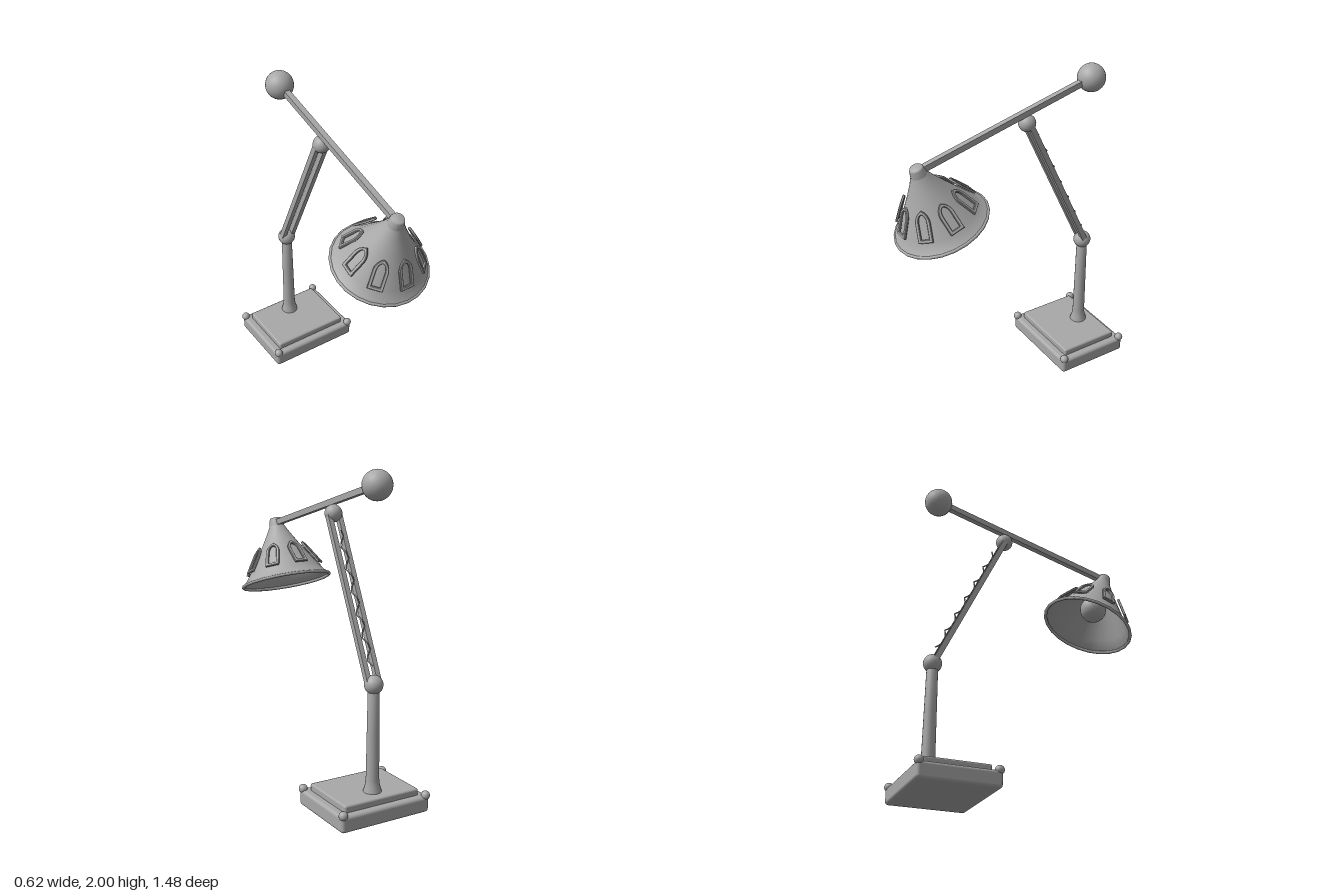
import * as THREE from 'three';
import { RoundedBoxGeometry } from 'three/addons/geometries/RoundedBoxGeometry.js';

const V2 = (x, y) => new THREE.Vector2(x, y);
const V3 = (x, y, z) => new THREE.Vector3(x, y, z);

export function createModel() {
  const lamp = new THREE.Group();
  lamp.name = 'deskLamp';
  const grey = new THREE.MeshStandardMaterial({ color: 0xa8a8a8 });
  grey.name = 'grey metal';
  const greyOpen = new THREE.MeshStandardMaterial({ color: 0xa8a8a8, side: THREE.DoubleSide });
  greyOpen.name = 'grey metal open';

  const add = (name, geometry, x, y, z, parent = lamp, material = grey) => {
    const mesh = new THREE.Mesh(geometry, material);
    mesh.name = name;
    mesh.position.set(x, y, z);
    parent.add(mesh);
    return mesh;
  };
  const ball = (name, r, x, y, z, parent) =>
    add(name, new THREE.SphereGeometry(r, 24, 16), x, y, z, parent);
  // Square bar between two points
  const bar = (name, a, b, w, h) => {
    const mid = a.clone().lerp(b, 0.5);
    add(name, new THREE.BoxGeometry(w, h, a.distanceTo(b)), mid.x, mid.y, mid.z).lookAt(b);
  };

  // Stepped base with a ball on each corner
  const baseZ = -0.485;
  add('baseSlab', new RoundedBoxGeometry(0.605, 0.1, 0.488, 3, 0.02), 0, 0.052, baseZ);
  add('baseStep', new RoundedBoxGeometry(0.51, 0.07, 0.395, 2, 0.012), 0, 0.108, baseZ);
  for (const sx of [-1, 1])
    for (const sz of [-1, 1]) ball('cornerBall', 0.027, sx * 0.285, 0.105, baseZ + sz * 0.227);

  // Flared post
  const postProfile = [V2(0.056, 0.13), V2(0.054, 0.15), V2(0.045, 0.18), V2(0.04, 0.22),
    V2(0.037, 0.5), V2(0.034, 0.76), V2(0, 0.76)];
  add('post', new THREE.LatheGeometry(postProfile, 16), 0, 0, -0.575);

  // Joints and counterweight
  const elbow = V3(0, 0.79, -0.575), shoulder = V3(0, 1.727, -0.13);
  ball('lowerJoint', 0.056, ...elbow.toArray());
  ball('upperJoint', 0.053, ...shoulder.toArray());
  ball('counterweight', 0.087, 0, 1.913, -0.585);

  // Twin lower arm rods
  for (const sx of [-1, 1]) {
    const side = V3(sx * 0.034, 0, 0);
    bar('lowerArmRod', elbow.clone().add(side), shoulder.clone().add(side), 0.03, 0.034);
  }

  // Stretched spring behind the rods
  const along = shoulder.clone().sub(elbow).normalize();
  const back = V3(0, along.z, -along.y);
  const coil = [];
  for (let i = 0; i <= 24; i++) {
    const a = (i / 4) * Math.PI * 2;
    coil.push(elbow.clone().addScaledVector(along, 0.1 + (i / 24) * 0.82)
      .addScaledVector(back, 0.023 + 0.015 * Math.cos(a))
      .add(V3(0.017 * Math.sin(a), 0, 0)));
  }
  const coilCurve = new THREE.CatmullRomCurve3(coil, false, 'catmullrom', 0.1);
  add('spring', new THREE.TubeGeometry(coilCurve, 96, 0.0045, 6), 0, 0, 0);

  // Upper arm
  bar('upperArm', V3(0, 1.913, -0.585), V3(0, 1.612, 0.58), 0.036, 0.036);

  // Tilted shade, measured from the centre of its rim
  const shade = new THREE.Group();
  shade.name = 'shade';
  shade.position.set(0, 1.24, 0.459);
  shade.rotation.x = THREE.MathUtils.degToRad(20);
  lamp.add(shade);
  const shadeProfile = [V2(0.29, 0.003), V2(0.26, 0.03), V2(0.235, 0.065), V2(0.18, 0.15),
    V2(0.125, 0.235), V2(0.075, 0.32), V2(0.052, 0.365), V2(0.045, 0.38)];
  add('shadeCone', new THREE.LatheGeometry(shadeProfile, 24), 0, 0, 0, shade, greyOpen);
  add('shadeRim', new THREE.TorusGeometry(0.286, 0.01, 8, 24), 0, 0, 0, shade).rotation.x = Math.PI / 2;
  const capProfile = [V2(0, 0.345), V2(0.052, 0.345), V2(0.051, 0.365), V2(0.042, 0.41),
    V2(0.036, 0.422), V2(0, 0.425)];
  add('shadeCap', new THREE.LatheGeometry(capProfile, 16), 0, 0, 0, shade);
  ball('bulb', 0.085, 0, 0.138, 0, shade);
  add('bulbSocket', new THREE.CylinderGeometry(0.035, 0.035, 0.16, 16), 0, 0.28, 0, shade);

  // Pointed arch outline, inset by t
  const arch = (path, t) => {
    const w = 0.045 - t, bottom = -0.092 + t, top = 0.092 - t * 1.2;
    path.moveTo(-w, bottom);
    path.lineTo(w, bottom);
    path.lineTo(w, 0.025);
    path.quadraticCurveTo(w * 0.85, 0.068, 0, top);
    path.quadraticCurveTo(-w * 0.85, 0.068, -w, 0.025);
    path.closePath();
    return path;
  };
  const frameShape = arch(new THREE.Shape(), 0.003);
  frameShape.holes.push(arch(new THREE.Path(), 0.017));
  const frameGeometry = new THREE.ExtrudeGeometry(frameShape, {
    depth: 0.009, bevelThickness: 0.003, bevelSize: 0.003, bevelSegments: 1, curveSegments: 5,
  });

  // Eight arched frames standing just off the cone
  for (let i = 0; i < 8; i++) {
    const spoke = new THREE.Group();
    spoke.name = 'archWindow';
    spoke.rotation.y = (i * Math.PI) / 4;
    shade.add(spoke);
    add('archFrame', frameGeometry, 0, 0.152, 0.194, spoke).rotation.x = -0.561;
  }
  return lamp;
}
